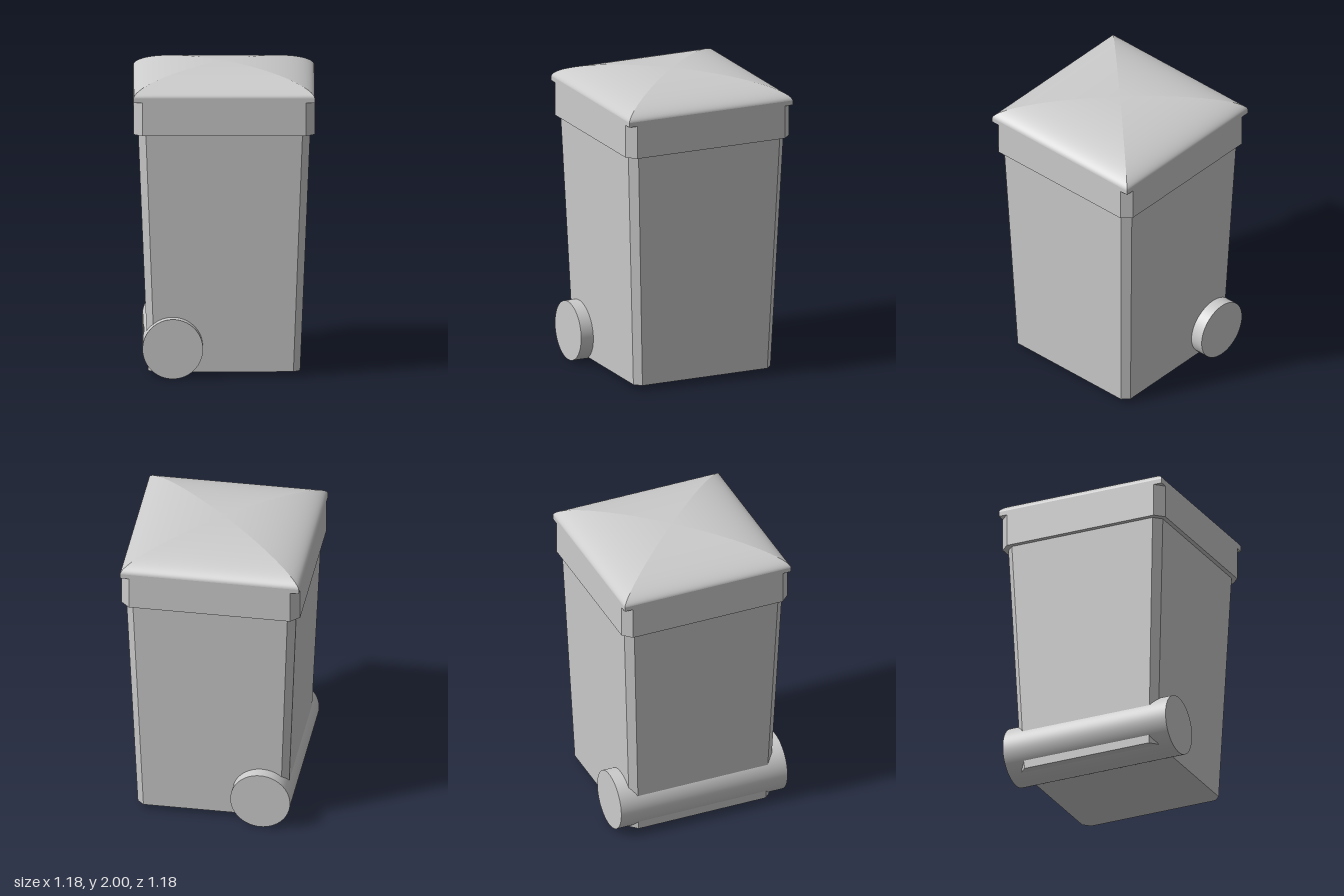
import * as THREE from 'three';

const grey = () => new THREE.MeshStandardMaterial({ color: 0xcccccc, side: THREE.DoubleSide });

// Upright prism with a chamfered square section, tapering from half-width h0 to h1
function chamferedPrism(h0, h1, cut, y0, y1) {
  const c = h1 - cut;
  const shape = new THREE.Shape([
    [c, -h1], [h1, -c], [h1, c], [c, h1], [-c, h1], [-h1, c], [-h1, -c], [-c, -h1],
  ].map(([x, y]) => new THREE.Vector2(x, y)));
  const geo = new THREE.ExtrudeGeometry(shape, { depth: y1 - y0, bevelEnabled: false });
  geo.rotateX(-Math.PI / 2).translate(0, y0, 0);
  const p = geo.attributes.position;
  for (let i = 0; i < p.count; i++) {
    const s = THREE.MathUtils.lerp(h0 / h1, 1, (p.getY(i) - y0) / (y1 - y0));
    p.setX(i, p.getX(i) * s);
    p.setZ(i, p.getZ(i) * s);
  }
  geo.computeVertexNormals();
  return geo;
}

// One curved quarter of the domed lid, running from the front edge to the apex
function domeQuarter(half, y0, y1, rows = 28, cols = 8) {
  const pos = [], index = [];
  for (let r = 0; r <= rows; r++) {
    const a = (r / rows) * Math.PI / 2;
    const h = half * Math.cos(a);
    const y = y0 + (y1 - y0) * Math.pow(Math.sin(a), 1.12);
    for (let c = 0; c <= cols; c++) pos.push(h * (2 * c / cols - 1), y, h);
  }
  for (let r = 0; r < rows; r++) {
    for (let c = 0; c < cols; c++) {
      const i = r * (cols + 1) + c, j = i + cols + 1;
      index.push(i, i + 1, j + 1);
      if (r < rows - 1) index.push(i, j + 1, j);
    }
  }
  const geo = new THREE.BufferGeometry();
  geo.setAttribute('position', new THREE.Float32BufferAttribute(pos, 3));
  geo.setIndex(index);
  geo.computeVertexNormals();
  return geo;
}

export function createModel() {
  const model = new THREE.Group();
  model.name = 'wheeledBin';
  const add = (name, geo, parent = model) => {
    const mesh = new THREE.Mesh(geo, grey());
    mesh.name = name;
    parent.add(mesh);
    return mesh;
  };

  // Tapered container and the collar around its mouth
  add('body', chamferedPrism(0.495, 0.56, 0.05, 0.03, 1.61));
  add('collar', chamferedPrism(0.59, 0.59, 0.058, 1.61, 1.83));

  // Lid: square-cornered edge with a four-sided dome on top
  const lid = new THREE.Group();
  lid.name = 'lid';
  model.add(lid);
  add('lidEdge', new THREE.BoxGeometry(1.18, 0.03, 1.18).translate(0, 1.845, 0), lid);
  for (let i = 0; i < 4; i++) {
    add('lidDome', domeQuarter(0.59, 1.86, 2), lid).rotation.y = i * Math.PI / 2;
  }

  // Full-width roller passing through the base
  const roller = add('wheelRoller', new THREE.CylinderGeometry(0.197, 0.197, 1.18, 64).rotateX(Math.PI / 2));
  roller.position.set(-0.335, 0.2, 0);
  roller.position.y = 0.197;

  return model;
}
